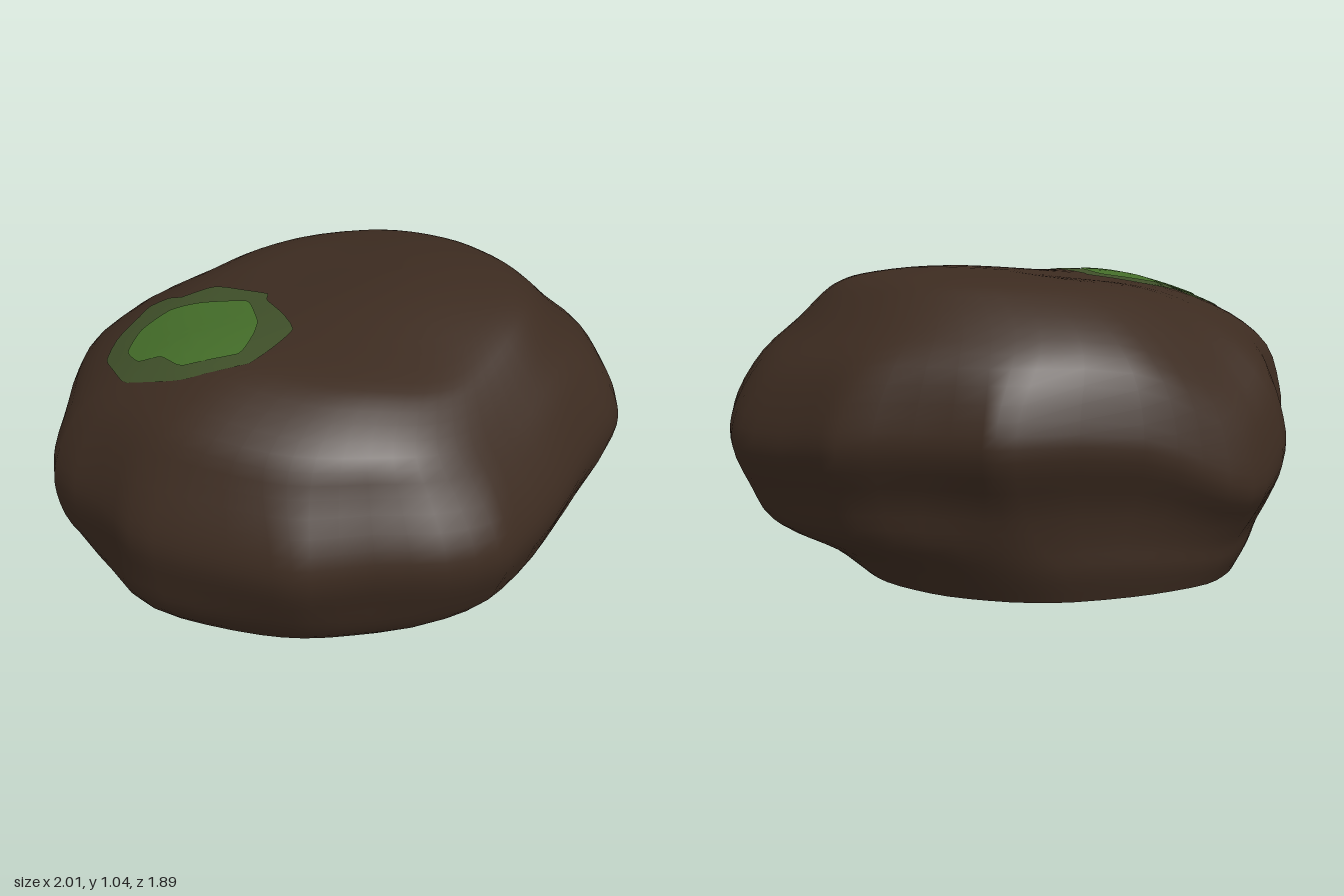
import * as THREE from 'three';

// Widest outline of the boulder seen from above, as x, z pairs
const OUTLINE = [
  1, 0.03, 0.9, 0.2, 0.82, 0.33, 0.72, 0.5, 0.57, 0.71, 0.49, 0.8, 0.32, 0.88, 0.1, 0.9,
  -0.1, 0.94, -0.22, 0.93, -0.5, 0.84, -0.68, 0.76, -0.8, 0.61, -0.98, 0.45, -1, 0.25, -1, 0,
  -0.98, -0.12, -0.89, -0.28, -0.88, -0.47, -0.8, -0.6, -0.69, -0.72, -0.5, -0.8, -0.3, -0.86,
  0.1, -0.945, 0.2, -0.93, 0.4, -0.84, 0.63, -0.77, 0.72, -0.68, 0.9, -0.5, 0.98, -0.37, 1, -0.18,
];

// Horizontal extents by height: y, minX, maxX, minZ, maxZ
const LEVELS = [
  [0, -0.79, 0.55, -0.78, 0.55],
  [0.1, -0.86, 0.69, -0.82, 0.75],
  [0.2, -0.91, 0.88, -0.84, 0.83],
  [0.33, -0.97, 0.95, -0.87, 0.89],
  [0.48, -1, 1, -0.94, 0.94],
  [0.6, -0.99, 0.98, -0.93, 0.92],
  [0.75, -0.93, 0.89, -0.87, 0.83],
  [0.86, -0.8, 0.77, -0.76, 0.76],
  [0.95, -0.6, 0.68, -0.63, 0.62],
  [0.99, -0.42, 0.62, -0.55, 0.5],
  [1.015, -0.2, 0.54, -0.44, 0.28],
  [1.035, 0.02, 0.38, -0.29, 0.05],
  [1.042, 0.2, 0.2, -0.13, -0.13],
];

// Corners and shoulders that sag (or rise, if negative): x, z, drop, spread
const SAGS = [
  [-0.72, -0.72, 0.18, 0.1],
  [0.48, 0.48, 0.075, 0.12],
  [0.87, -0.5, 0.04, 0.08],
  [-0.45, 0.47, -0.03, 0.08],
  [-0.4, -0.05, 0.015, 0.08],
  [-0.08, -0.22, 0.015, 0.05],
];

function pairs(list) {
  const points = [];
  for (let i = 0; i < list.length; i += 2) points.push(new THREE.Vector3(list[i], 0, list[i + 1]));
  return points;
}

function makeGeometry(positions, index) {
  const geometry = new THREE.BufferGeometry();
  geometry.setAttribute('position', new THREE.Float32BufferAttribute(positions, 3));
  geometry.setIndex(index);
  geometry.computeVertexNormals();
  return geometry;
}

// Soft weight, 1 at (cx, cz) and fading around it
const near = (x, z, cx, cz, spread) => Math.exp(-((x - cx) ** 2 + (z - cz) ** 2) / spread);

// Stacked outlines: craggy at the waist, rounder above and below
function boulderGeometry() {
  const sides = 62, rows = 36, reach = 4;
  const curve = new THREE.CatmullRomCurve3(pairs(OUTLINE), true, 'catmullrom', 0.5);
  const craggy = Array.from({ length: sides }, (_, j) => curve.getPoint(j / sides));
  const round = craggy.map((_, j) => {
    const sum = new THREE.Vector3();
    for (let k = -reach; k <= reach; k++) sum.add(craggy[(j + k + sides) % sides]);
    return sum.multiplyScalar(1.04 / (2 * reach + 1));
  });
  const centres = new THREE.CatmullRomCurve3(
    LEVELS.map(([y, x0, x1, z0, z1]) => new THREE.Vector3((x0 + x1) / 2, y, (z0 + z1) / 2)), false, 'catmullrom');
  const halves = new THREE.CatmullRomCurve3(
    LEVELS.map(([, x0, x1, z0, z1]) => new THREE.Vector3((x1 - x0) / 2, 0, (z1 - z0) / 2)), false, 'catmullrom');
  const positions = [], index = [];
  for (let i = 0; i <= rows; i++) {
    const c = centres.getPoint(i / rows), h = halves.getPoint(i / rows);
    const roundness = 0.7 * THREE.MathUtils.smoothstep(Math.abs(c.y - 0.5), 0.08, 0.4);
    for (let j = 0; j < sides; j++) {
      const o = craggy[j].clone().lerp(round[j], roundness);
      // Low bulge at the front right corner
      const bulge = 1 + 0.06 * near(o.x, o.z, -0.72, 0.72, 0.1) * Math.exp(-(((c.y - 0.2) / 0.14) ** 2));
      const x = c.x + o.x * h.x * bulge;
      const z = c.z + (o.z / 0.945) * h.z * bulge;
      let drop = 0;
      for (const [sx, sz, depth, spread] of SAGS) drop += depth * near(x, z, sx, sz, spread);
      positions.push(x, Math.max(0, c.y - drop * Math.min(1, c.y * 2)), z);
      if (i < rows) {
        const k = (j + 1) % sides, p = i * sides, q = p + sides;
        index.push(p + j, q + j, p + k, p + k, q + j, q + k);
      }
    }
  }
  // Flat underside with its own vertices, so the rim stays sharp
  const base = positions.length / 3;
  positions.push(...positions.slice(0, sides * 3), -0.12, 0, -0.11);
  for (let j = 0; j < sides; j++) index.push(base + sides, base + j, base + ((j + 1) % sides));
  return makeGeometry(positions, index);
}

// Thin patch draped over the boulder, from an outline seen from above
function drapedPatch(boulder, outlinePairs, lift) {
  const sides = 48, rings = 8;
  const curve = new THREE.CatmullRomCurve3(pairs(outlinePairs), true, 'catmullrom', 0.25);
  const ray = new THREE.Raycaster();
  const down = new THREE.Vector3(0, -1, 0);
  const positions = [], index = [];
  for (let i = 0; i <= rings; i++) {
    for (let j = 0; j < sides; j++) {
      const p = curve.getPoint(j / sides);
      const x = THREE.MathUtils.lerp(-0.5, p.x, i / rings);
      const z = THREE.MathUtils.lerp(0.2, p.z, i / rings);
      ray.set(new THREE.Vector3(x, 3, z), down);
      positions.push(x, ray.intersectObject(boulder)[0].point.y + lift, z);
      if (i < rings) {
        const k = (j + 1) % sides, a = i * sides, b = a + sides;
        index.push(a + j, a + k, b + j, a + k, b + k, b + j);
      }
    }
  }
  return makeGeometry(positions, index);
}

export function createModel() {
  const material = (name, color) => new THREE.MeshStandardMaterial({ name, color });
  const rock = material('dark brown rock', 0x3c2b20);
  const mossEdge = material('dull moss green', 0x3f4f29);
  const mossBright = material('bright moss green', 0x446d29);
  mossEdge.side = mossBright.side = THREE.DoubleSide;

  const group = new THREE.Group();
  group.name = 'mossyBoulder';
  const add = (name, geometry, mat) => {
    const mesh = new THREE.Mesh(geometry, mat);
    mesh.name = name;
    group.add(mesh);
    return mesh;
  };

  const boulder = add('boulder', boulderGeometry(), rock);
  boulder.updateMatrixWorld(true);

  add('mossEdge', drapedPatch(boulder, [
    -0.17, 0.25, -0.23, 0.36, -0.31, 0.45, -0.5, 0.47, -0.6, 0.44, -0.72, 0.38, -0.77, 0.29, -0.81, 0.2,
    -0.79, 0.08, -0.73, -0.03, -0.7, -0.1, -0.63, -0.12, -0.58, -0.09, -0.47, -0.13, -0.36, -0.07,
    -0.27, -0.02, -0.27, 0.03, -0.21, 0.14,
  ], 0.004), mossEdge);
  add('mossCentre', drapedPatch(boulder, [
    -0.29, 0.2, -0.3, 0.29, -0.34, 0.4, -0.52, 0.41, -0.6, 0.33, -0.68, 0.31, -0.73, 0.22,
    -0.7, 0.1, -0.61, 0.01, -0.5, 0, -0.34, 0.03, -0.31, 0.11,
  ], 0.008), mossBright);
  return group;
}
